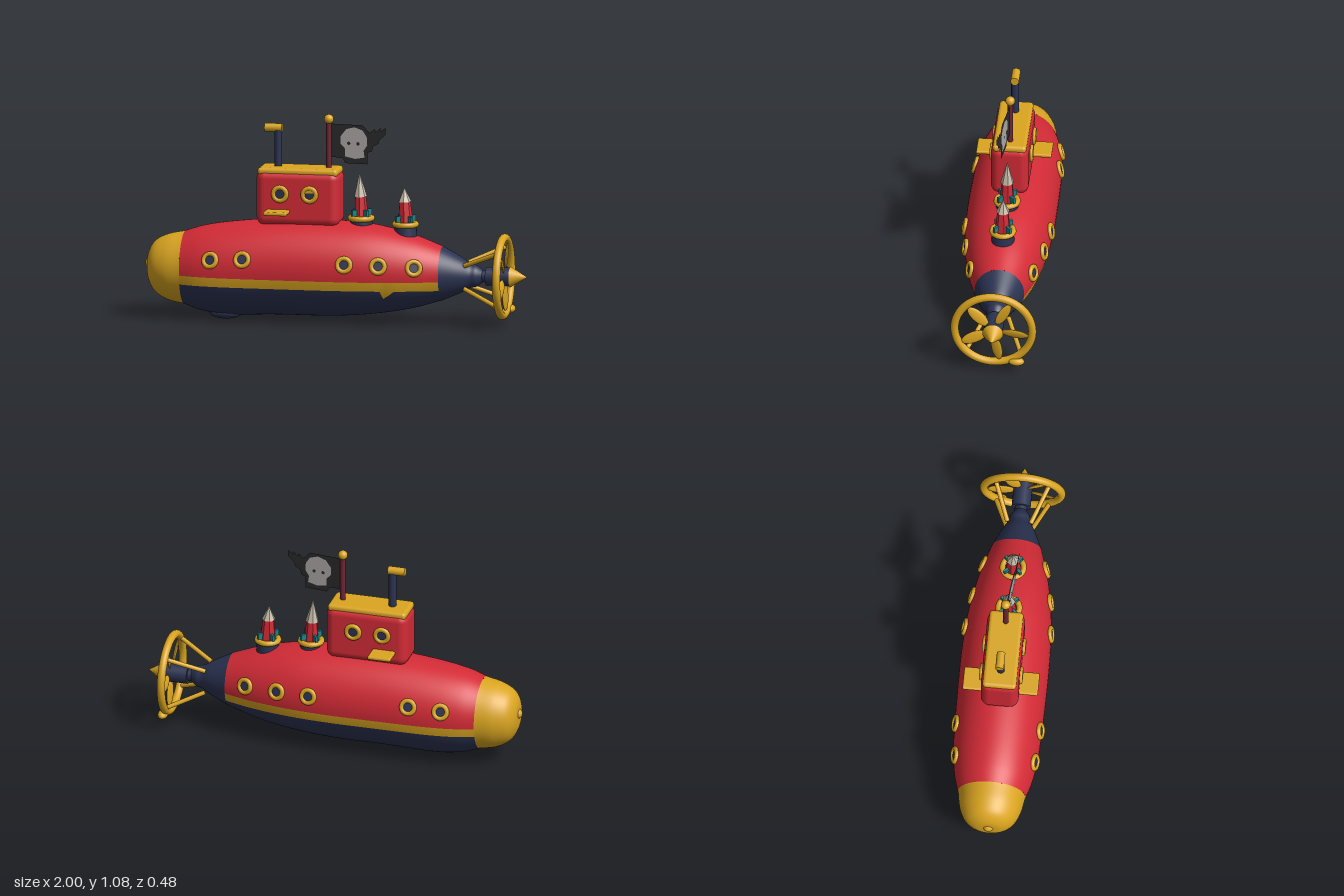
import * as THREE from 'three';
import { RoundedBoxGeometry } from 'three/addons/geometries/RoundedBoxGeometry.js';

const V = (x, y, z) => new THREE.Vector3(x, y, z);

export function createModel() {
  const model = new THREE.Group();
  const material = (name, color, extra = {}) => {
    const m = new THREE.MeshStandardMaterial({ color, ...extra });
    m.name = name;
    return m;
  };
  const red = material('red', 0xd42b36);
  const gold = material('gold', 0xdaa520);
  const navy = material('navy', 0x2b3352);
  const maroon = material('maroon', 0x6e2733);
  const black = material('black', 0x2b2b2b, { side: THREE.DoubleSide });
  const grey = material('grey', 0xb0aaaa, { side: THREE.DoubleSide });
  const cream = material('cream', 0xc6bca8, { flatShading: true });
  const teal = material('teal', 0x1c8288);
  const facetedRed = material('facetedRed', 0xd42b36, { flatShading: true });

  function add(name, geometry, mat, x = 0, y = 0, z = 0, parent = model) {
    const mesh = new THREE.Mesh(geometry, mat);
    mesh.name = name;
    mesh.position.set(x, y, z);
    parent.add(mesh);
    return mesh;
  }
  function rod(name, a, b, radius, mat, topRadius = radius) {
    const mesh = add(name, new THREE.CylinderGeometry(topRadius, radius, a.distanceTo(b), 20), mat);
    mesh.position.copy(a).lerp(b, 0.5);
    mesh.quaternion.setFromUnitVectors(V(0, 1, 0), b.clone().sub(a).normalize());
    return mesh;
  }

  // Hull sections: x, centre height, vertical radius
  const WIDTH = 0.92;
  const nose = [[-0.985, 0.265, 0], [-0.978, 0.265, 0.075], [-0.945, 0.262, 0.132], [-0.88, 0.258, 0.17], [-0.79, 0.258, 0.19]];
  const body = [[-0.79, 0.258, 0.19], [-0.7, 0.258, 0.219], [-0.57, 0.262, 0.239], [-0.3, 0.278, 0.249], [0, 0.28, 0.248],
    [0.2, 0.28, 0.232], [0.4, 0.274, 0.192], [0.56, 0.268, 0.14]];
  const tail = [[0.56, 0.268, 0.14], [0.66, 0.262, 0.091], [0.71, 0.26, 0.062], [0.74, 0.26, 0.055], [0.775, 0.26, 0.03]];
  const curve = (points) => new THREE.CatmullRomCurve3(points.map((p) => V(...p)));

  // Strip of hull skin between two angles, each a function of the section
  function hullStrip(name, path, from, to, mat, across) {
    const along = 96, pos = [], index = [];
    for (let i = 0; i <= along; i++) {
      const s = path.getPoint(i / along);
      const r = Math.max(s.z, 0);
      for (let j = 0; j <= across; j++) {
        const a = THREE.MathUtils.lerp(from(s), to(s), j / across);
        pos.push(s.x, s.y + r * Math.sin(a), r * WIDTH * Math.cos(a));
        if (i < along && j < across) {
          const k = i * (across + 1) + j, n = k + across + 1;
          index.push(k, n, n + 1, k, n + 1, k + 1);
        }
      }
    }
    const g = new THREE.BufferGeometry();
    g.setAttribute('position', new THREE.Float32BufferAttribute(pos, 3));
    g.setIndex(index);
    g.computeVertexNormals();
    add(name, g, mat);
  }
  const cut = (height) => (s) => Math.asin(THREE.MathUtils.clamp((height(s.x) - s.y) / s.z, -1, 1));
  const low = cut(() => 0.192), high = cut(() => 0.24), PI = Math.PI;
  const lowLeft = cut((x) => 0.192 - (x > 0.275 && x < 0.34 ? 0.7 * (0.34 - x) : 0)); // stripe is torn once on this side
  const bodyCurve = curve(body);
  hullStrip('noseCap', curve(nose), () => -PI / 2, () => PI * 1.5, gold, 48);
  hullStrip('upperHull', bodyCurve, high, (s) => PI - high(s), red, 32);
  hullStrip('leftStripe', bodyCurve, lowLeft, high, gold, 2);
  hullStrip('rightStripe', bodyCurve, (s) => PI - high(s), (s) => PI - low(s), gold, 2);
  hullStrip('lowerHull', bodyCurve, (s) => PI - low(s), (s) => 2 * PI + lowLeft(s), navy, 32);
  hullStrip('tailCone', curve(tail), () => -PI / 2, () => PI * 1.5, navy, 48);
  add('noseKnob', new THREE.SphereGeometry(0.028, 16, 12), gold, -0.972, 0.275, 0);
  const keelDent = add('keelDent', new THREE.SphereGeometry(1, 20, 12), navy, -0.575, 0.03, 0.02);
  keelDent.scale.set(0.085, 0.03, 0.05);

  // Portholes
  function porthole(position, normal) {
    const g = new THREE.Group();
    g.name = 'porthole';
    g.position.copy(position);
    g.quaternion.setFromUnitVectors(V(0, 0, 1), normal.normalize());
    add('portholeRim', new THREE.TorusGeometry(0.034, 0.0125, 10, 28), gold, 0, 0, 0.003, g);
    add('portholeGlass', new THREE.CircleGeometry(0.034, 28), navy, 0, 0, 0.007, g);
    model.add(g);
    return g;
  }
  const section = (x) => {
    let a = 0, b = 1;
    for (let i = 0; i < 30; i++) {
      const m = (a + b) / 2;
      if (bodyCurve.getPoint(m).x < x) a = m; else b = m;
    }
    return bodyCurve.getPoint(a);
  };
  for (const side of [1, -1]) {
    for (const [x, y] of [[-0.62, 0.33], [-0.45, 0.34], [0.085, 0.33], [0.26, 0.325], [0.44, 0.315]]) {
      const s = section(x);
      const a = Math.asin((y - s.y) / s.z);
      const slope = (section(x + 0.01).z - section(x - 0.01).z) / 0.02;
      porthole(V(x, y, side * s.z * WIDTH * Math.cos(a)), V(-slope, Math.sin(a), side * Math.cos(a)));
    }
  }

  // Tower, roof, side planes and tower windows, one with a lid
  add('tower', new RoundedBoxGeometry(0.435, 0.29, 0.195, 5, 0.045), red, -0.187, 0.645, 0);
  add('towerRoof', new RoundedBoxGeometry(0.42, 0.04, 0.175, 4, 0.018), gold, -0.187, 0.782, 0);
  add('towerPlanes', new RoundedBoxGeometry(0.122, 0.02, 0.39, 3, 0.008), gold, -0.285, 0.579, 0);
  for (const side of [1, -1]) porthole(V(-0.275, 0.67, side * 0.097), V(0, 0, side));
  porthole(V(-0.12, 0.67, -0.097), V(0, 0, -1));
  const lidded = porthole(V(-0.12, 0.67, 0.097), V(0, 0, 1));
  add('windowLid', new THREE.CircleGeometry(0.03, 20, 0, PI), gold, 0, 0.01, 0.012, lidded);

  // Periscope
  rod('periscopeTube', V(-0.303, 0.79, 0), V(-0.303, 1.0, 0), 0.02, navy);
  rod('periscopeHead', V(-0.372, 1.0, 0), V(-0.282, 1.0, 0), 0.022, gold);

  // Flag
  rod('flagPole', V(-0.037, 0.79, 0), V(-0.037, 1.035, 0), 0.014, maroon);
  add('flagPoleBall', new THREE.SphereGeometry(0.025, 20, 14), gold, -0.037, 1.053, 0);
  const flag = new THREE.Group();
  flag.name = 'flag';
  flag.position.set(-0.032, 0.828, 0);
  flag.rotation.y = -0.14;
  model.add(flag);
  const outline = [[0, 0.03], [0.07, 0.025], [0.085, 0], [0.205, 0], [0.205, 0.06], [0.23, 0.07], [0.235, 0.095], [0.265, 0.11],
    [0.27, 0.13], [0.305, 0.16], [0.303, 0.195], [0.275, 0.175], [0.275, 0.193], [0.25, 0.17], [0.245, 0.186], [0.215, 0.165], [0.18, 0.202], [0, 0.202]];
  const shape = (pts) => new THREE.ShapeGeometry(new THREE.Shape(pts.map((p) => new THREE.Vector2(...p))));
  add('flagCloth', shape(outline), black, 0, 0, 0, flag);
  const face = [[0.085, 0.035], [0.14, 0.025], [0.19, 0.035], [0.185, 0.07], [0.205, 0.1], [0.203, 0.14], [0.18, 0.175],
    [0.135, 0.19], [0.09, 0.178], [0.06, 0.14], [0.06, 0.1], [0.085, 0.075]];
  for (const z of [0.003, -0.003]) {
    add('flagSkull', shape(face), grey, 0, 0, z, flag);
    for (const x of [0.105, 0.155]) add('flagEyeHole', new THREE.CircleGeometry(0.009, 12), black, x, 0.105, z * 1.8, flag);
  }

  // Rockets standing in deck collars
  function rocket(x, y, bodyHeight, tipHeight, bodyRadius, lean) {
    const g = new THREE.Group();
    g.name = 'rocket';
    g.position.set(x, y, 0);
    model.add(g);
    add('launchTube', new THREE.CylinderGeometry(0.056, 0.062, 0.08, 24), navy, 0, -0.035, 0, g);
    const collar = add('launchCollar', new THREE.TorusGeometry(0.055, 0.015, 10, 32), gold, 0, 0.008, 0, g);
    collar.rotation.x = PI / 2;
    const missile = new THREE.Group();
    missile.name = 'missile';
    missile.rotation.z = lean;
    g.add(missile);
    add('rocketBody', new THREE.CylinderGeometry(0.029, bodyRadius, bodyHeight, 7), facetedRed, 0, bodyHeight / 2, 0, missile);
    add('rocketTip', new THREE.ConeGeometry(0.035, tipHeight, 7), cream, 0, bodyHeight + tipHeight / 2 - 0.005, 0, missile);
    for (let i = 0; i < 4; i++) {
      const a = (i * PI) / 2 + PI / 4;
      const fin = add('rocketFin', new THREE.BoxGeometry(0.035, 0.05, 0.014), teal, 0.043 * Math.cos(a), 0.028, 0.043 * Math.sin(a), g);
      fin.rotation.y = -a;
    }
  }
  rocket(0.133, 0.535, 0.125, 0.125, 0.038, 0.04);
  rocket(0.365, 0.51, 0.13, 0.075, 0.042, 0.03);

  // Propeller with guard ring
  const AXIS = 0.26;
  rod('propellerShaft', V(0.74, AXIS, 0), V(0.8, AXIS, 0), 0.032, navy);
  rod('propellerHub', V(0.79, AXIS, 0), V(0.92, AXIS, 0), 0.049, navy);
  rod('propellerCone', V(0.915, AXIS, 0), V(1, AXIS, 0), 0.054, gold, 0.003);
  const ring = add('guardRing', new THREE.TorusGeometry(0.201, 0.021, 14, 64), gold, 0.88, AXIS, 0);
  ring.rotation.y = PI / 2;
  const ringDent = add('guardRingDent', new THREE.SphereGeometry(1, 16, 12), gold, 0.893, 0.075, -0.12);
  ringDent.scale.set(0.026, 0.022, 0.042);
  for (let i = 0; i < 5; i++) {
    const holder = new THREE.Group();
    holder.name = 'propellerBlade';
    holder.position.set(0.885, AXIS, 0);
    holder.rotation.x = (45 + i * 72) * (PI / 180);
    model.add(holder);
    const blade = add('blade', new THREE.SphereGeometry(1, 20, 14), gold, 0, 0.112, 0, holder);
    blade.scale.set(0.009, 0.072, 0.03);
    blade.rotation.y = 0.3;
  }
  for (let i = 0; i < 4; i++) {
    const a = PI / 4 + (i * PI) / 2, c = Math.cos(a), s = Math.sin(a);
    rod('guardStrut', V(0.685, AXIS + 0.085 * s, 0.085 * c), V(0.88, AXIS + 0.2 * s, 0.2 * c), 0.012, gold);
  }
  return model;
}
